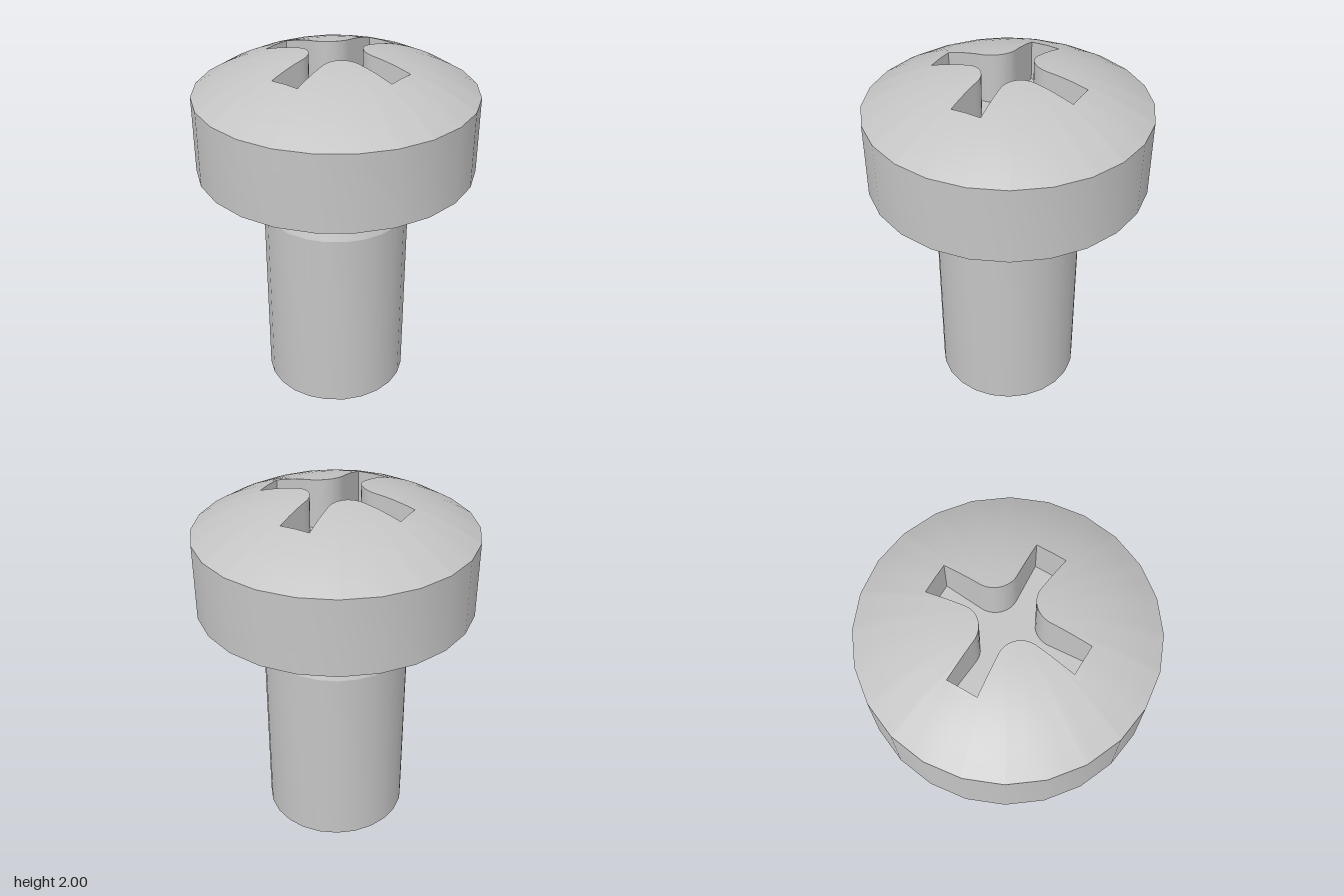
import * as THREE from 'three';
import { toCreasedNormals } from 'three/addons/utils/BufferGeometryUtils.js';

const SIDES = 24, STEP = Math.PI * 2 / SIDES;
const HEAD_R = 0.76, RIM_Y = 1.78, APEX_Y = 2.005, FLOOR_Y = 1.72;
const CREASE = 0.3;

// height of the spherical cap at radius r
function domeY(r) {
  const h = APEX_Y - RIM_Y, R = (HEAD_R * HEAD_R + h * h) / (2 * h);
  return APEX_Y - R + Math.sqrt(R * R - r * r);
}

// radius of the many-sided head rim at an angle
function rimRadius(a) {
  const local = ((a % STEP) + STEP) % STEP - STEP / 2;
  return HEAD_R * Math.cos(STEP / 2) / Math.cos(local);
}

// cross-shaped outline of the drive recess, counter-clockwise
function crossOutline() {
  const quarter = [];
  const line = (a, b, n) => {
    for (let i = 0; i < n; i++) {
      quarter.push(new THREE.Vector2().lerpVectors(a, b, i / n));
    }
  };
  const v = (x, y) => new THREE.Vector2(x, y);
  line(v(0.408, 0), v(0.408, 0.082), 2);
  line(v(0.408, 0.082), v(0.185, 0.065), 6);
  for (let i = 0; i < 10; i++) {
    const a = -Math.PI / 2 - (i / 10) * Math.PI / 2;
    quarter.push(v(0.185 + 0.12 * Math.cos(a), 0.185 + 0.12 * Math.sin(a)));
  }
  line(v(0.065, 0.185), v(0.082, 0.408), 6);
  line(v(0.082, 0.408), v(0, 0.408), 2);

  const pts = [];
  for (let q = 0; q < 4; q++) {
    quarter.forEach(p => pts.push(p.clone().rotateAround(v(0, 0), q * Math.PI / 2)));
  }
  // add a point wherever the outline passes a corner direction of the rim
  const out = [];
  pts.forEach((p, i) => {
    const n = pts[(i + 1) % pts.length];
    out.push(p);
    const a0 = p.angle();
    let a1 = n.angle();
    if (a1 < a0 - Math.PI) a1 += Math.PI * 2;
    const k = Math.ceil(a0 / STEP - 1e-4) * STEP;
    if (k > a0 + 1e-3 && k < a1 - 1e-3) {
      const d = v(Math.cos(k), Math.sin(k));
      const c0 = d.cross(p), c1 = d.cross(n);
      out.push(p.clone().lerp(n, c0 / (c0 - c1)));
    }
  });
  return out;
}

// skin closed rings of equal length
function skin(rings) {
  const n = rings[0].length, index = [];
  for (let r = 0; r < rings.length - 1; r++) {
    for (let i = 0; i < n; i++) {
      const a = r * n + i, b = r * n + (i + 1) % n;
      index.push(a, a + n, b + n, a, b + n, b);
    }
  }
  const g = new THREE.BufferGeometry().setFromPoints(rings.flat());
  g.setIndex(index);
  return toCreasedNormals(g, CREASE);
}

export function createModel() {
  const group = new THREE.Group();
  const metal = new THREE.MeshStandardMaterial({ color: 0xc4c4c4 });
  metal.name = 'grey metal';
  const add = (name, geometry) => {
    const mesh = new THREE.Mesh(geometry, metal);
    mesh.name = name;
    group.add(mesh);
  };
  const turned = (...profile) => toCreasedNormals(
    new THREE.LatheGeometry(profile.map(p => new THREE.Vector2(...p)), SIDES), CREASE);

  // turned parts, profiles run from bottom to top
  add('shaft', turned([0, 0], [0.405, 0], [0.405, 1.09], [0.355, 1.22]));
  add('neckFlare', turned([0.355, 1.22], [0.49, 1.36]));
  add('headBand', turned([0.49, 1.36], [HEAD_R, 1.36], [HEAD_R, RIM_Y]));

  // domed top, from the recess edge out to the rim
  const outline = crossOutline();
  const domeRings = [];
  const rows = 8;
  for (let j = 0; j <= rows; j++) {
    domeRings.push(outline.map(p => {
      const a = p.angle(), rim = rimRadius(a);
      const r = THREE.MathUtils.lerp(p.length(), rim, j / rows);
      const y = domeY(Math.min(HEAD_R, r / rim * HEAD_R));
      return new THREE.Vector3(r * Math.cos(a), y, -r * Math.sin(a));
    }));
  }
  add('headDome', skin(domeRings));

  // recess walls and flat floor
  const floorRing = domeRings[0].map(p => new THREE.Vector3(p.x, FLOOR_Y, p.z));
  add('recessWalls', skin([floorRing, domeRings[0]]));
  const floor = new THREE.ShapeGeometry(new THREE.Shape(outline));
  floor.rotateX(-Math.PI / 2).translate(0, FLOOR_Y, 0);
  add('recessFloor', floor);

  return group;
}
